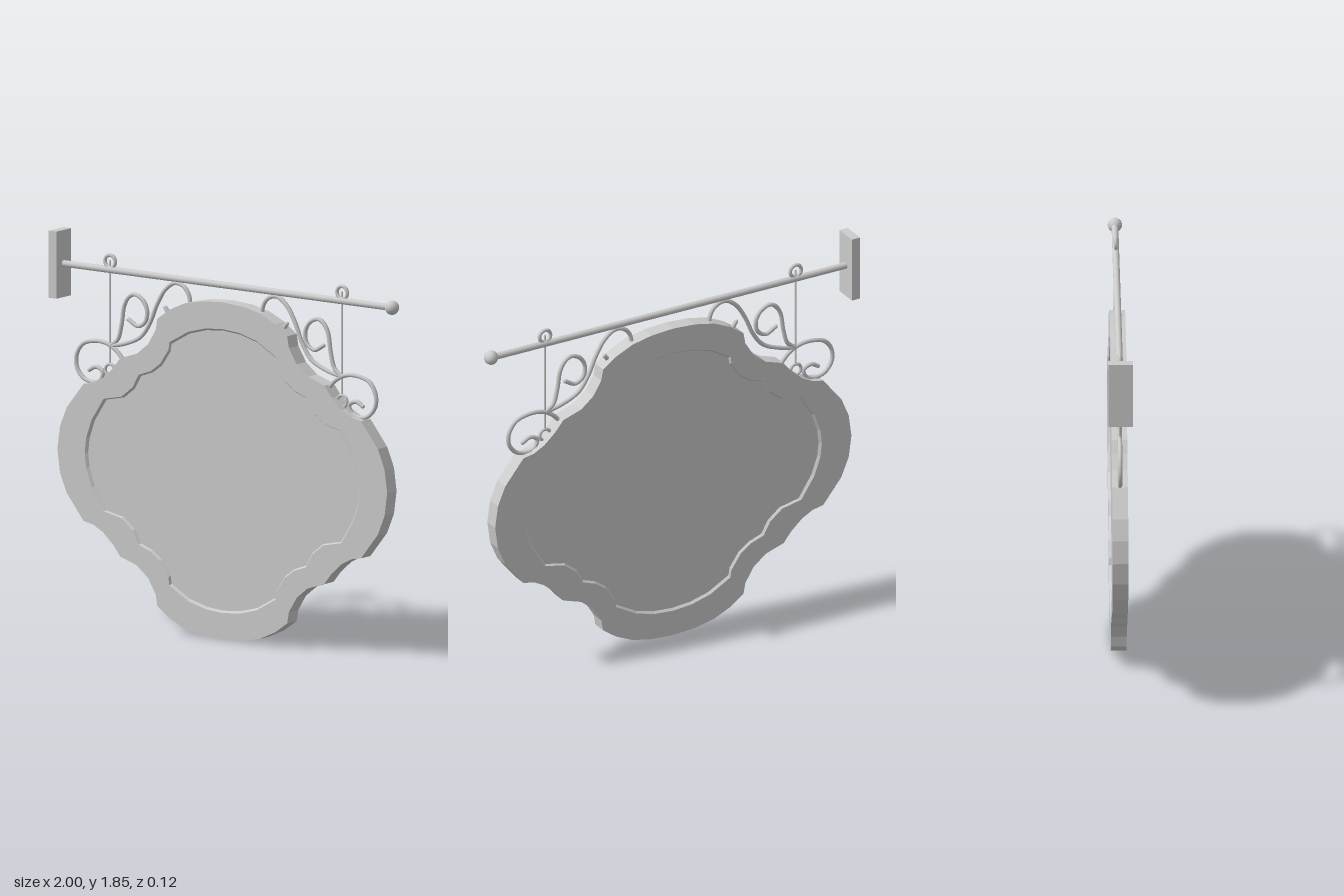
import * as THREE from 'three';

const mat = new THREE.MeshStandardMaterial({ color: 0xcccccc });
const flat = new THREE.MeshStandardMaterial({ color: 0xcccccc, flatShading: true, side: THREE.DoubleSide });
const CY = 0.81; // height of the board's centre

// quarter outlines, from top centre to the right-hand tip
const outerQuarter = [[0, 0.805], [0.12, 0.797], [0.22, 0.776], [0.31, 0.735], [0.38, 0.685], [0.39, 0.63],
  [0.435, 0.557], [0.5, 0.505], [0.597, 0.473], [0.64, 0.42], [0.7, 0.367], [0.755, 0.338], [0.812, 0.327],
  [0.91, 0.205], [0.95, 0.11], [0.965, 0]];
const innerQuarter = [[0, 0.677], [0.1, 0.669], [0.2, 0.642], [0.31, 0.58], [0.315, 0.543], [0.365, 0.47],
  [0.42, 0.43], [0.49, 0.405], [0.525, 0.342], [0.59, 0.29], [0.695, 0.268], [0.765, 0.16], [0.797, 0.07], [0.805, 0]];

// mirrors a quarter into a closed loop
function fullLoop(quarter, scale = 1) {
  const half = [...quarter, ...quarter.slice(0, -1).reverse().map(([x, y]) => [x, -y])];
  const all = [...half, ...half.slice(1, -1).reverse().map(([x, y]) => [-x, y])];
  return all.map(([x, y]) => new THREE.Vector2(x * scale, y * scale + CY));
}

function add(parent, name, geometry, material, x = 0, y = 0, z = 0) {
  const mesh = new THREE.Mesh(geometry, material);
  mesh.name = name;
  mesh.position.set(x, y, z);
  parent.add(mesh);
  return mesh;
}

// sloping strip between two loops of equal length
function bevelStrip(a, za, b, zb) {
  const pos = [], index = [], n = a.length;
  a.forEach((p, i) => {
    pos.push(p.x, p.y, za, b[i].x, b[i].y, zb);
    const j = (i + 1) % n;
    index.push(2 * i, 2 * j, 2 * i + 1, 2 * j, 2 * j + 1, 2 * i + 1);
  });
  const g = new THREE.BufferGeometry();
  g.setAttribute('position', new THREE.Float32BufferAttribute(pos, 3));
  g.setIndex(index);
  g.computeVertexNormals();
  return g;
}

function buildBoard() {
  const board = new THREE.Group();
  board.name = 'board';
  const half = 0.037, recess = 0.025;
  const inner = fullLoop(innerQuarter), floor = fullLoop(innerQuarter, 0.986);
  const rim = new THREE.Shape(fullLoop(outerQuarter));
  rim.holes.push(new THREE.Path(inner));
  add(board, 'rim', new THREE.ExtrudeGeometry(rim, { depth: 2 * half, bevelEnabled: false }), flat, 0, 0, -half);
  const panel = new THREE.ExtrudeGeometry(new THREE.Shape(floor), { depth: 2 * recess, bevelEnabled: false });
  add(board, 'panel', panel, flat, 0, 0, -recess);
  for (const s of [1, -1])
    add(board, s > 0 ? 'frontBevel' : 'backBevel', bevelStrip(inner, s * half, floor, s * recess), flat);
  return board;
}

// wrought-iron scrolls for one side, x measured outward from the middle
const scrolls = {
  topScroll: [[0.356, 1.545], [0.324, 1.508], [0.27, 1.503], [0.222, 1.535], [0.211, 1.588], [0.227, 1.636],
    [0.259, 1.663], [0.302, 1.668], [0.356, 1.631], [0.404, 1.556], [0.447, 1.46], [0.5, 1.39],
    [0.591, 1.348], [0.676, 1.328]],
  middleScroll: [[0.676, 1.33], [0.634, 1.364], [0.612, 1.438], [0.596, 1.529], [0.57, 1.572], [0.537, 1.588],
    [0.489, 1.567], [0.463, 1.519], [0.473, 1.465], [0.516, 1.439], [0.57, 1.465]],
  lowerScroll: [[0.596, 1.262], [0.644, 1.31], [0.698, 1.337], [0.767, 1.342], [0.837, 1.321], [0.874, 1.267],
    [0.874, 1.209], [0.837, 1.16], [0.783, 1.144], [0.735, 1.16], [0.722, 1.2], [0.762, 1.219], [0.8, 1.2]],
};

function buildHanger(side) {
  const g = new THREE.Group();
  g.name = side > 0 ? 'leftHanger' : 'rightHanger';
  g.position.x = -0.005;
  for (const [name, pts] of Object.entries(scrolls)) {
    const path = new THREE.CatmullRomCurve3(pts.map(([x, y]) => new THREE.Vector3(side * x, y, 0)));
    add(g, name, new THREE.TubeGeometry(path, 80, 0.0105, 8), mat);
    for (const i of [0, pts.length - 1])
      add(g, name + 'End', new THREE.SphereGeometry(0.0105, 8, 6), mat, side * pts[i][0], pts[i][1]);
  }
  // wire with a ring at each end
  const x = side * 0.679;
  add(g, 'wire', new THREE.CylinderGeometry(0.005, 0.005, 0.5, 8), mat, x, 1.485);
  add(g, 'upperRing', new THREE.TorusGeometry(0.03, 0.009, 8, 24), mat, x, 1.73);
  add(g, 'lowerRing', new THREE.TorusGeometry(0.028, 0.008, 8, 24), mat, x, 1.212);
  return g;
}

export function createModel() {
  const model = new THREE.Group();
  model.name = 'hangingSign';
  model.add(buildBoard(), buildHanger(1), buildHanger(-1));

  // wall bracket
  add(model, 'wallPlate', new THREE.BoxGeometry(0.045, 0.32, 0.116), mat, -0.9775, 1.69);
  const rod = add(model, 'rod', new THREE.CylinderGeometry(0.016, 0.016, 1.93, 16), mat, 0, 1.69);
  rod.rotation.z = Math.PI / 2;
  add(model, 'rodBall', new THREE.SphereGeometry(0.034, 20, 14), mat, 0.966, 1.69);
  return model;
}
